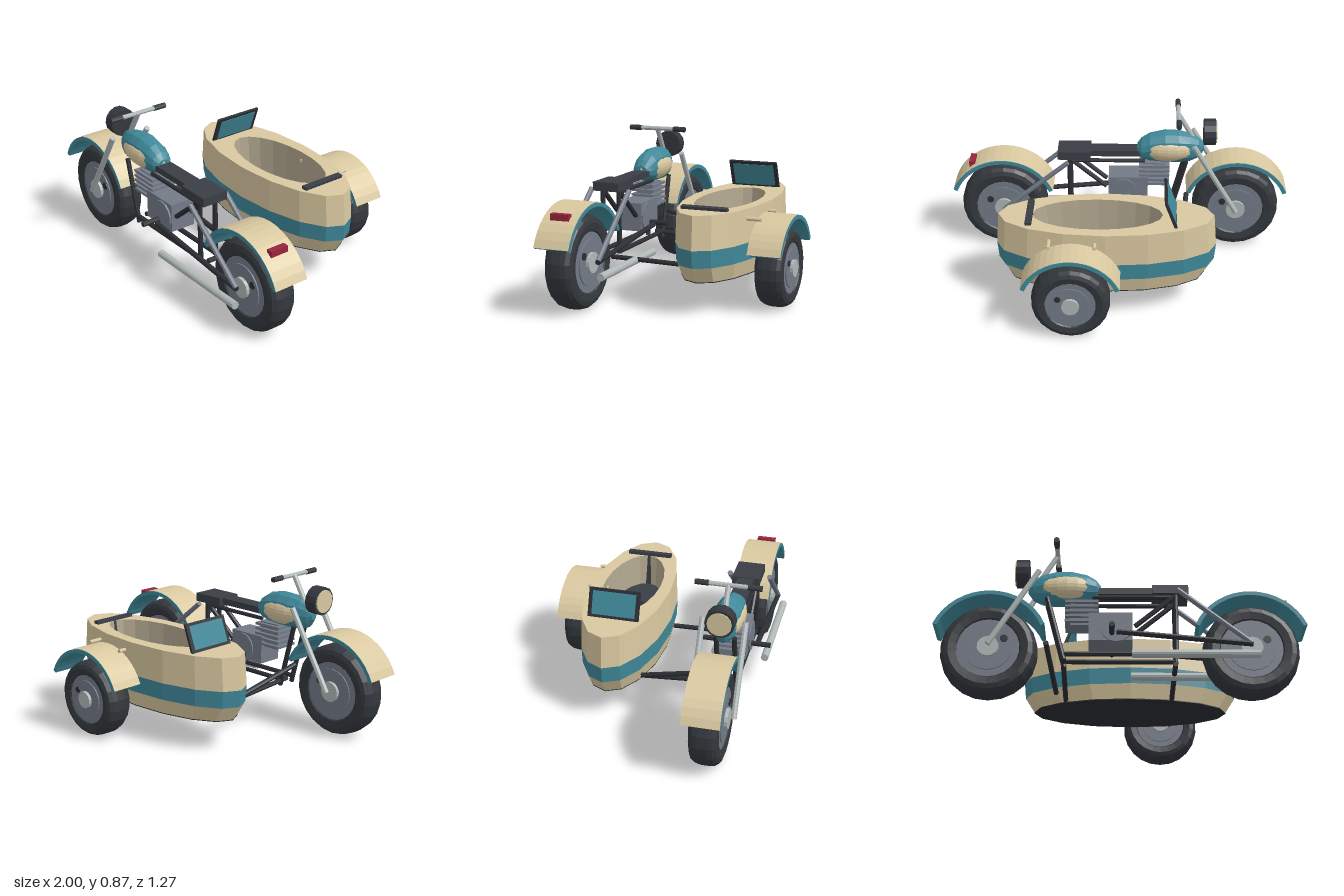
import * as THREE from 'three';

const mat = (name, color, side = THREE.FrontSide) => {
  const m = new THREE.MeshStandardMaterial({ color, flatShading: true, side });
  m.name = name;
  return m;
};

export function createModel() {
  const cream = mat('cream paint', 0xd9c8a0);
  const teal = mat('teal paint', 0x40899a);
  const rubber = mat('tyre rubber', 0x34383d);
  const black = mat('black frame', 0x2b2e33);
  const leather = mat('dark leather', 0x3a3e45);
  const grey = mat('engine grey', 0x747b88);
  const silver = mat('silver metal', 0xb0b8b8);
  const red = mat('red lamp', 0x99243c);
  const lining = mat('cockpit lining', 0xb3a890, THREE.DoubleSide);

  const model = new THREE.Group();
  model.name = 'motorcycleWithSidecar';
  const BZ = 0.4425; // centre line of the bike
  const SZ = -0.205; // centre line of the sidecar
  const V = (x, y, z) => new THREE.Vector3(x, y, z);

  const add = (name, geo, material, x = 0, y = 0, z = 0, parent = model) => {
    const m = new THREE.Mesh(geo, material);
    m.name = name;
    m.position.set(x, y, z);
    parent.add(m);
    return m;
  };
  const box = (name, m, w, h, d, x, y, z) => add(name, new THREE.BoxGeometry(w, h, d), m, x, y, z);
  const tube = (name, m, a, b, r, sides = 8) => {
    const dir = b.clone().sub(a);
    const mesh = add(name, new THREE.CylinderGeometry(r, r, dir.length(), sides), m);
    mesh.position.copy(a).add(b).multiplyScalar(0.5);
    mesh.quaternion.setFromUnitVectors(V(0, 1, 0), dir.normalize());
    return mesh;
  };
  const discZ = (r, depth, sides) => new THREE.CylinderGeometry(r, r, depth, sides).rotateX(Math.PI / 2);

  // Skin through a list of equal-sized rings, with optional end caps
  const loft = (rings, capStart, capEnd) => {
    const out = [];
    const tri = (...p) => p.forEach(v => out.push(v.x, v.y, v.z));
    const n = rings[0].length;
    for (let i = 0; i < rings.length - 1; i++) for (let j = 0; j < n; j++) {
      const k = (j + 1) % n, a = rings[i], b = rings[i + 1];
      tri(a[j], a[k], b[k]);
      tri(a[j], b[k], b[j]);
    }
    const cap = (ring, flip) => {
      for (let j = 1; j < n - 1; j++) flip ? tri(ring[0], ring[j + 1], ring[j]) : tri(ring[0], ring[j], ring[j + 1]);
    };
    if (capStart) cap(rings[0], true);
    if (capEnd) cap(rings[rings.length - 1], false);
    const g = new THREE.BufferGeometry();
    g.setAttribute('position', new THREE.Float32BufferAttribute(out, 3));
    g.computeVertexNormals();
    return g;
  };

  // Wheels
  const wheel = (name, x, z, R) => {
    const g = new THREE.Group();
    g.name = name;
    g.position.set(x, R + 0.004, z);
    model.add(g);
    const s = R / 0.26;
    const half = [[0.16, 0.06], [0.175, 0.074], [0.215, 0.08], [0.24, 0.072], [0.255, 0.052], [0.261, 0.025]];
    const prof = [...half.map(([r, w]) => [r, -w]), ...half.slice().reverse()];
    add('tyre', new THREE.LatheGeometry(prof.map(([r, w]) => new THREE.Vector2(r * s, w)), 22).rotateX(Math.PI / 2), rubber, 0, 0, 0, g);
    add('rim', discZ(0.168 * s, 0.136, 22), grey, 0, 0, 0, g);
    add('rimCentre', discZ(0.13 * s, 0.15, 20), grey, 0, 0, 0, g);
    add('hub', discZ(0.058 * s, 0.186, 14), silver, 0, 0, 0, g);
    add('valve', discZ(0.021 * s, 0.162, 10), black, 0.083 * s, 0.05 * s, 0, g);
  };
  wheel('frontWheel', -0.70, BZ, 0.258);
  wheel('rearWheel', 0.698, BZ, 0.258);
  wheel('sidecarWheel', 0.247, -0.542, 0.215);

  // Fenders: teal shell with a cream outer skin
  const fender = (name, x, y, z, R, width) => {
    const a = 1.175, N = 16, pts = [];
    const at = (r, t) => new THREE.Vector2(r * Math.sin(t), r * Math.cos(t));
    for (let i = 0; i <= N; i++) pts.push(at(R, -a + 2 * a * i / N));
    for (let i = N; i >= 0; i--) pts.push(at(R - 0.022, -a + 2 * a * i / N));
    const shell = new THREE.ExtrudeGeometry(new THREE.Shape(pts), { depth: width, bevelEnabled: false }).translate(0, 0, -width / 2);
    add(name, shell, teal, x, y, z);
    const skin = new THREE.CylinderGeometry(R + 0.003, R + 0.003, width, N, 1, true, Math.PI - a, 2 * a).rotateX(Math.PI / 2);
    add(name + 'Skin', skin, cream, x, y, z);
  };
  fender('frontFender', -0.70, 0.264, BZ, 0.322, 0.204);
  fender('rearFender', 0.698, 0.264, BZ, 0.322, 0.204);
  fender('sidecarFender', 0.247, 0.222, -0.543, 0.287, 0.186);
  box('tailLamp', red, 0.035, 0.035, 0.108, 0.882, 0.538, BZ);

  // Fuel tank: [x, half width, bottom, top]
  const tank = [[-0.5, 0.02, 0.62, 0.67], [-0.47, 0.042, 0.575, 0.705], [-0.42, 0.062, 0.552, 0.732], [-0.35, 0.078, 0.546, 0.747],
    [-0.27, 0.081, 0.548, 0.75], [-0.18, 0.074, 0.556, 0.728], [-0.13, 0.062, 0.572, 0.695], [-0.105, 0.04, 0.6, 0.66]];
  const tankRings = tank.map(([x, w, lo, hi]) => Array.from({ length: 12 }, (_, j) => {
    const t = j * Math.PI / 6;
    return V(x, (lo + hi) / 2 + Math.sin(t) * (hi - lo) / 2, BZ - Math.cos(t) * w);
  }));
  add('fuelTank', loft(tankRings, true, true), teal);
  add('tankPanels', new THREE.SphereGeometry(1, 20, 14).scale(0.185, 0.085, 0.089), cream, -0.287, 0.64, BZ);

  // Headlamp
  add('headlamp', new THREE.CylinderGeometry(0.08, 0.08, 0.07, 14).rotateZ(Math.PI / 2), rubber, -0.532, 0.742, BZ);
  add('headlampLens', new THREE.CylinderGeometry(0.066, 0.066, 0.008, 14).rotateZ(Math.PI / 2), cream, -0.57, 0.742, BZ);

  // Fork legs, stays and exhausts on both sides
  for (const s of [-1, 1]) {
    const z = BZ + s * 0.116;
    tube('forkLeg', silver, V(-0.70, 0.262, z), V(-0.438, 0.7, z), 0.016);
    tube('shock', grey, V(0.695, 0.27, z), V(0.305, 0.588, z), 0.015);
    tube('chainStay', black, V(-0.02, 0.335, z), V(0.70, 0.265, z), 0.015);
    tube('exhaust', silver, V(0.06, 0.192, BZ + s * 0.147), V(0.73, 0.192, BZ + s * 0.147), 0.022, 12);
    tube('grip', rubber, V(-0.345, 0.857, BZ + s * 0.105), V(-0.345, 0.857, BZ + s * 0.18), 0.016);

    // Cradle frame
    const f = BZ + s * 0.05;
    tube('downTube', black, V(-0.395, 0.57, f), V(-0.3, 0.2, f), 0.014);
    tube('lowerRail', black, V(-0.3, 0.235, f), V(0.3, 0.235, f), 0.014);
    tube('seatPost', black, V(0.298, 0.225, f), V(0.298, 0.6, f), 0.014);
    tube('brace', black, V(0.08, 0.4, f), V(0.298, 0.585, f), 0.014);
    tube('upperRail', black, V(-0.15, 0.572, f), V(0.3, 0.572, f), 0.012);
  }
  tube('steeringStem', silver, V(-0.47, 0.647, BZ), V(-0.345, 0.857, BZ), 0.015);
  tube('handlebar', silver, V(-0.345, 0.857, BZ - 0.12), V(-0.345, 0.857, BZ + 0.12), 0.013);
  tube('footPegs', black, V(-0.045, 0.343, BZ - 0.193), V(-0.045, 0.343, BZ + 0.193), 0.015);

  // Saddle
  box('saddleNose', leather, 0.3, 0.036, 0.094, 0.03, 0.615, BZ);
  box('saddle', leather, 0.195, 0.05, 0.155, 0.27, 0.612, BZ);

  // Engine
  box('crankcase', grey, 0.235, 0.165, 0.15, -0.052, 0.387, BZ);
  add('crankcaseCover', discZ(0.085, 0.17, 14), grey, -0.022, 0.378, BZ);
  box('cylinderBlock', grey, 0.13, 0.15, 0.1, -0.205, 0.48, BZ);
  for (let i = 0; i < 5; i++) box('coolingFin', grey, 0.18, 0.014, 0.145, -0.207, 0.425 + i * 0.029, BZ);

  // Sidecar body
  const oval = (y, k, cx = 0.062, rx = 0.615, rz = 0.238, n = 16) => Array.from({ length: n }, (_, j) => {
    const t = j * 2 * Math.PI / n;
    return V(cx + Math.cos(t) * rx * k, y, SZ - Math.sin(t) * rz * k);
  });
  const sizes = { floor: oval(0.187, 0.9), low: oval(0.272, 0.985), high: oval(0.368, 1), rim: oval(0.552, 0.975) };
  add('sidecarLowerHull', loft([sizes.floor, sizes.low]), cream);
  add('sidecarStripe', loft([sizes.low, sizes.high]), teal);
  add('sidecarUpperHull', loft([sizes.high, sizes.rim]), cream);
  add('sidecarUnderside', loft([oval(0.182, 0.9), sizes.floor], true), black);

  // Deck with cockpit opening and lining
  const mouth = oval(0.552, 1, 0.11, 0.362, 0.163, 20);
  const well = oval(0.25, 0.93, 0.11, 0.362, 0.163, 20);
  const flat = ring => ring.map(p => new THREE.Vector2(p.x, -p.z));
  const deck = new THREE.Shape(flat(sizes.rim));
  deck.holes.push(new THREE.Path(flat(mouth)));
  add('sidecarDeck', new THREE.ShapeGeometry(deck).rotateX(-Math.PI / 2), cream, 0, 0.552, 0);
  add('cockpitLining', loft([mouth, well], false, true), lining);

  // Sidecar seat
  box('sidecarSeat', leather, 0.23, 0.1, 0.26, 0.335, 0.32, SZ + 0.005);
  box('sidecarBackrest', leather, 0.035, 0.27, 0.262, 0.475, 0.435, SZ + 0.003).rotation.z = -0.1;

  // Windshield
  const screen = new THREE.Group();
  screen.name = 'windshield';
  screen.position.set(-0.293, 0.626, SZ + 0.003);
  screen.rotation.z = -0.36;
  model.add(screen);
  add('windshieldFrame', new THREE.BoxGeometry(0.014, 0.165, 0.29), black, 0, 0, 0, screen);
  add('windshieldGlass', new THREE.BoxGeometry(0.02, 0.132, 0.246), teal, 0, 0, 0, screen);

  // Struts joining bike and sidecar
  tube('upperStrut', black, V(-0.402, 0.345, 0.4), V(-0.36, 0.235, -0.03), 0.015);
  tube('frontStrut', black, V(-0.305, 0.232, BZ), V(-0.305, 0.195, -0.1), 0.014);
  tube('rearStrut', black, V(0.295, 0.2, BZ), V(0.295, 0.185, -0.38), 0.014);
  tube('sidecarAxle', black, V(0.247, 0.222, -0.36), V(0.247, 0.222, -0.48), 0.014);
  for (const x of [0.12, 0.37]) tube('fenderBracket', cream, V(x, 0.498, -0.36), V(x, 0.498, -0.48), 0.011);

  return model;
}
